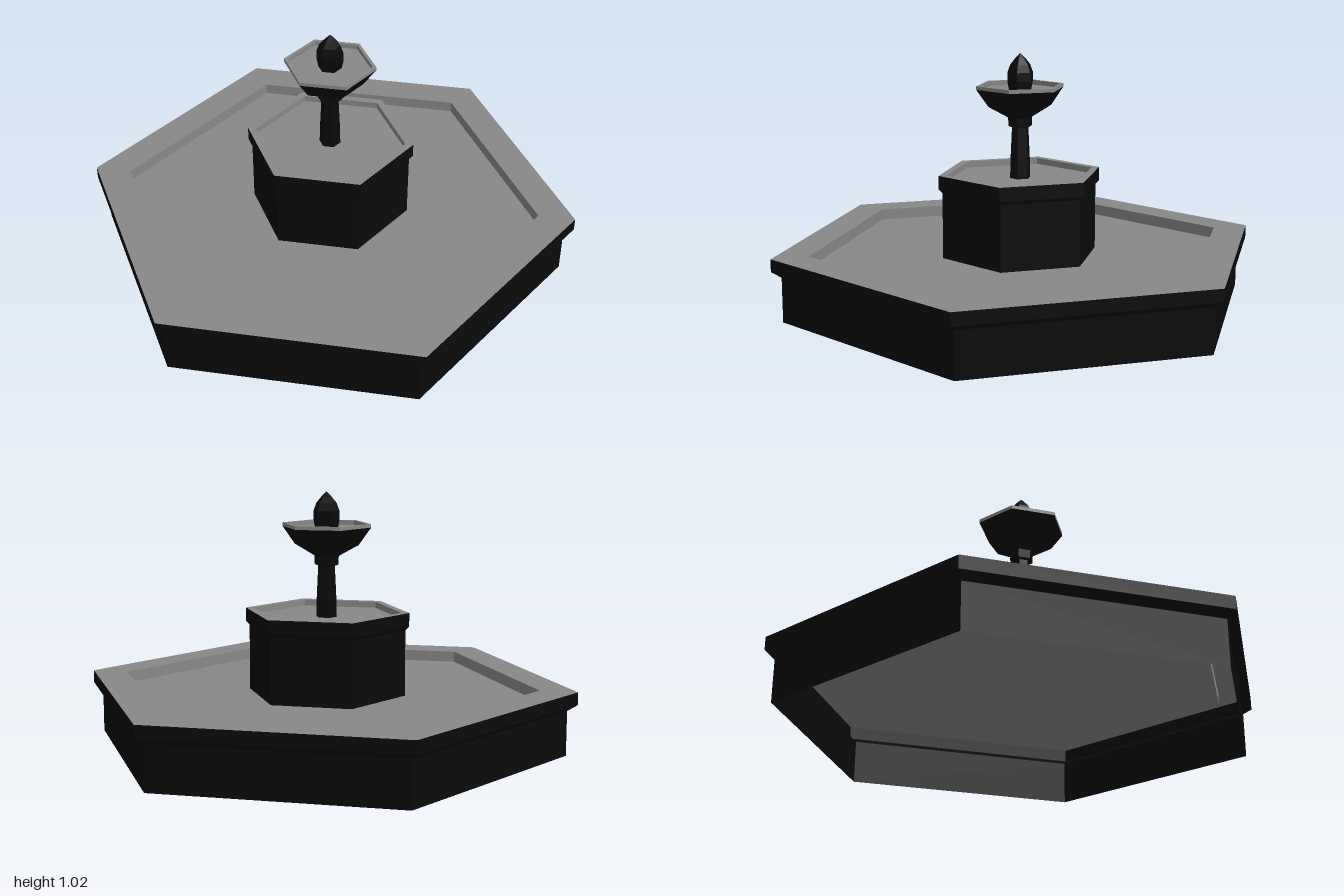
import * as THREE from 'three';

const dark = new THREE.MeshStandardMaterial({ color: 0x0a0a0a, flatShading: true, side: THREE.DoubleSide });
const pale = new THREE.MeshStandardMaterial({ color: 0x888888, flatShading: true, side: THREE.DoubleSide });

// Six-sided turned surface with corners on the x axis; profile is [radius, y] pairs
function hexLathe(name, profile, material) {
  const points = profile.map(([r, y]) => new THREE.Vector2(r, y));
  const mesh = new THREE.Mesh(new THREE.LatheGeometry(points, 6, Math.PI / 2), material);
  mesh.name = name;
  return mesh;
}

// Flat rim, inner wall and floor of a shallow basin
function basinTop(name, outer, inner, rimY, floorY) {
  return hexLathe(name, [[outer, rimY], [inner, rimY], [inner, floorY], [0, floorY]], pale);
}

export function createModel() {
  const fountain = new THREE.Group();
  fountain.name = 'fountain';

  // Wide lower pool, open underneath
  fountain.add(hexLathe('poolWall', [[0.96, 0], [0.96, 0.18], [1, 0.205], [1, 0.256]], dark));
  fountain.add(basinTop('poolBasin', 1, 0.853, 0.256, 0.21));

  // Raised middle tier
  fountain.add(hexLathe('tierWall', [[0.32, 0.21], [0.32, 0.475], [0.335, 0.49], [0.335, 0.545]], dark));
  fountain.add(basinTop('tierBasin', 0.335, 0.303, 0.545, 0.52));

  // Column with collar
  fountain.add(hexLathe('column', [
    [0.042, 0.52], [0.04, 0.6], [0.034, 0.725], [0.048, 0.73], [0.05, 0.765],
  ], dark));

  // Upper bowl with pale rim
  fountain.add(hexLathe('bowl', [[0.05, 0.765], [0.13, 0.81], [0.18, 0.88]], dark));
  fountain.add(hexLathe('bowlEdge', [[0.18, 0.88], [0.18, 0.894]], pale));
  fountain.add(basinTop('bowlBasin', 0.18, 0.166, 0.894, 0.875));

  // Pointed bud on top
  fountain.add(hexLathe('finial', [
    [0.046, 0.875], [0.053, 0.91], [0.052, 0.945], [0.041, 0.975], [0.02, 1], [0, 1.02],
  ], dark));

  return fountain;
}
